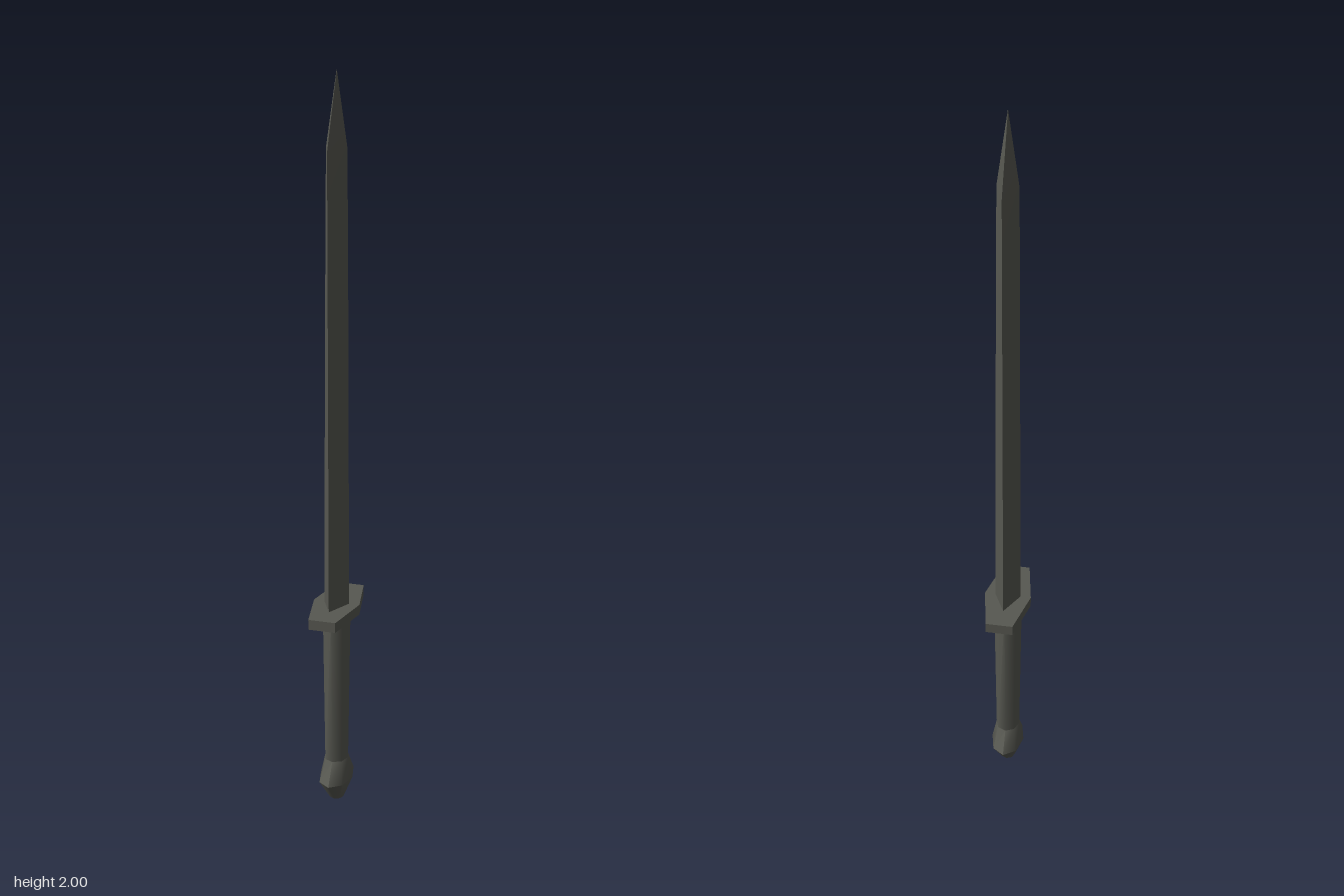
import * as THREE from 'three';
import { mergeVertices, toCreasedNormals } from 'three/addons/utils/BufferGeometryUtils.js';

// Lofts a closed [x, z] section through rings of [y, halfX, halfZ], with end caps.
function loft(section, rings, crease) {
  const n = section.length;
  const pos = [];
  const point = (i, j) => {
    const [y, hx, hz] = rings[i];
    const [x, z] = section[j % n];
    return [x * hx, y, z * hz];
  };
  const last = rings.length - 1;
  for (let j = 0; j < n; j++) {
    for (let i = 0; i < last; i++) {
      const a = point(i, j), b = point(i, j + 1), c = point(i + 1, j + 1), d = point(i + 1, j);
      pos.push(...a, ...b, ...c, ...a, ...c, ...d);
    }
    pos.push(0, rings[0][0], 0, ...point(0, j + 1), ...point(0, j));
    pos.push(0, rings[last][0], 0, ...point(last, j), ...point(last, j + 1));
  }
  const geometry = new THREE.BufferGeometry();
  geometry.setAttribute('position', new THREE.Float32BufferAttribute(pos, 3));
  return toCreasedNormals(mergeVertices(geometry), crease);
}

// Regular section with its first corner on +z
function polygon(sides) {
  return Array.from({ length: sides }, (_, i) => {
    const a = (i / sides) * Math.PI * 2;
    return [Math.sin(a), Math.cos(a)];
  });
}

export function createModel() {
  const sword = new THREE.Group();
  sword.name = 'sword';

  const darkMetal = new THREE.MeshStandardMaterial({ color: 0x575851 });
  darkMetal.name = 'darkMetal';

  const add = (name, geometry) => {
    const mesh = new THREE.Mesh(geometry, darkMetal);
    mesh.name = name;
    sword.add(mesh);
  };

  // Diamond blade, widening slightly before the point
  add('blade', loft(polygon(4), [
    [0.58, 0.035, 0.072],
    [1.4, 0.031, 0.077],
    [1.81, 0.028, 0.08],
    [2, 0.0005, 0.0005],
  ], 0.3));

  // Flat six-sided guard
  const hexagon = [[0.58, 1], [1, 0], [0.58, -1], [-0.58, -1], [-1, 0], [-0.58, 1]];
  add('guard', loft(hexagon, [[0.56, 0.064, 0.135], [0.588, 0.064, 0.135]], 0.3));

  // Rounded grip, tapering towards the pommel
  add('grip', loft(polygon(8), [[0.11, 0.033, 0.041], [0.565, 0.039, 0.052]], 1));

  // Faceted pommel, wide along z
  add('pommel', loft(polygon(8), [
    [0, 0.02, 0.022],
    [0.065, 0.046, 0.08],
    [0.125, 0.033, 0.041],
  ], 0.85));

  return sword;
}
